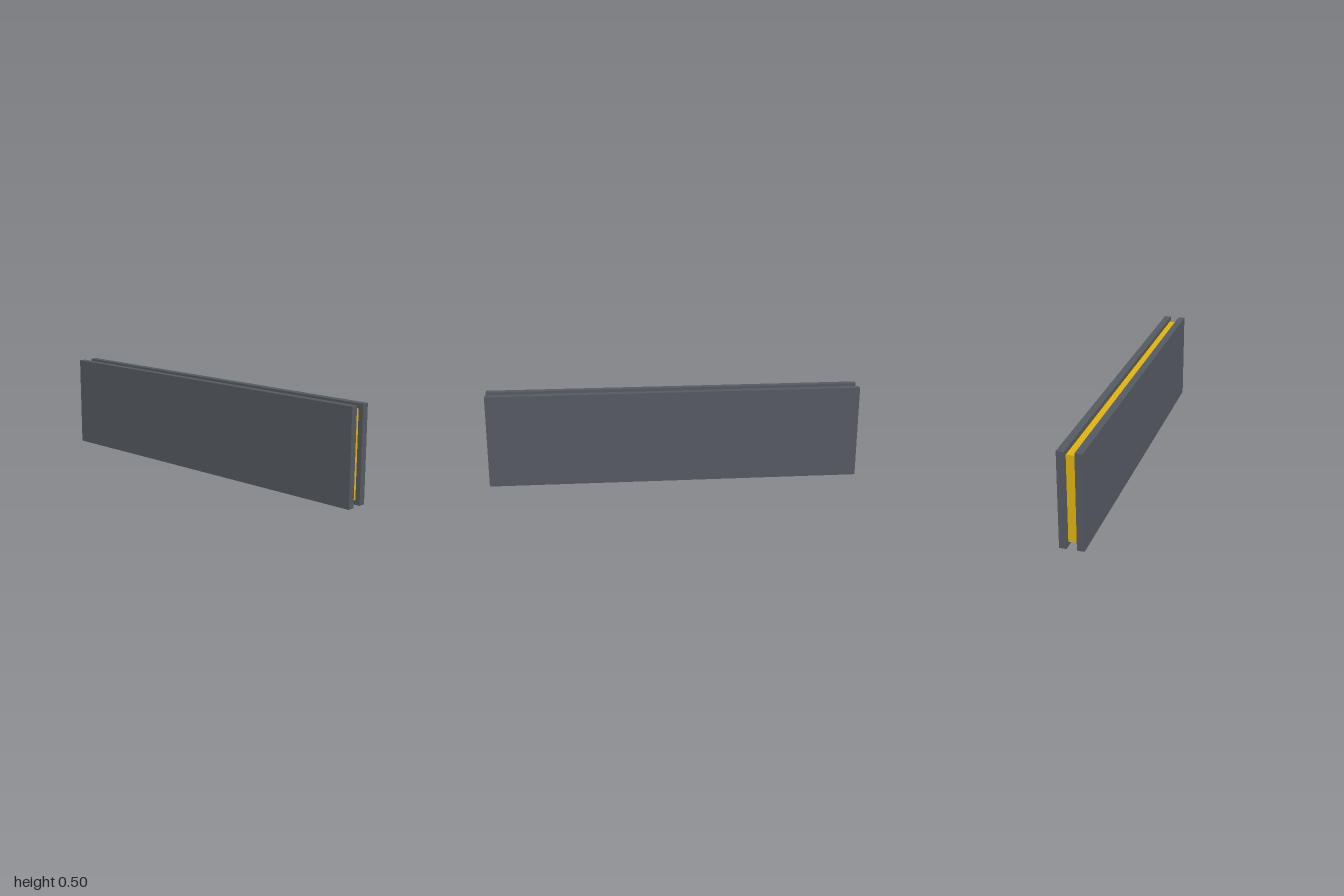
import * as THREE from 'three';

const HEIGHT = 0.5;
const CORE_DEPTH = 0.05;
const PLATE_DEPTH = 0.0375;
const INSET = 0.025;

export function createModel() {
  const model = new THREE.Group();
  model.name = 'sandwichPanel';
  const plateMaterial = new THREE.MeshStandardMaterial({ color: 0x555a61 });
  const coreMaterial = new THREE.MeshStandardMaterial({ color: 0xdeb20e });

  const addSlab = (name, width, height, depth, z, material) => {
    const slab = new THREE.Mesh(new THREE.BoxGeometry(width, height, depth), material);
    slab.name = name;
    slab.position.set(0, HEIGHT / 2, z);
    model.add(slab);
  };

  // Outer plates, mirrored front to back
  const plateZ = (CORE_DEPTH + PLATE_DEPTH) / 2;
  addSlab('frontPlate', 2, HEIGHT, PLATE_DEPTH, plateZ, plateMaterial);
  addSlab('backPlate', 2, HEIGHT, PLATE_DEPTH, -plateZ, plateMaterial);

  // Core between the plates, set back from every edge
  addSlab('core', 2 - 2 * INSET, HEIGHT - 2 * INSET, CORE_DEPTH, 0, coreMaterial);

  return model;
}
